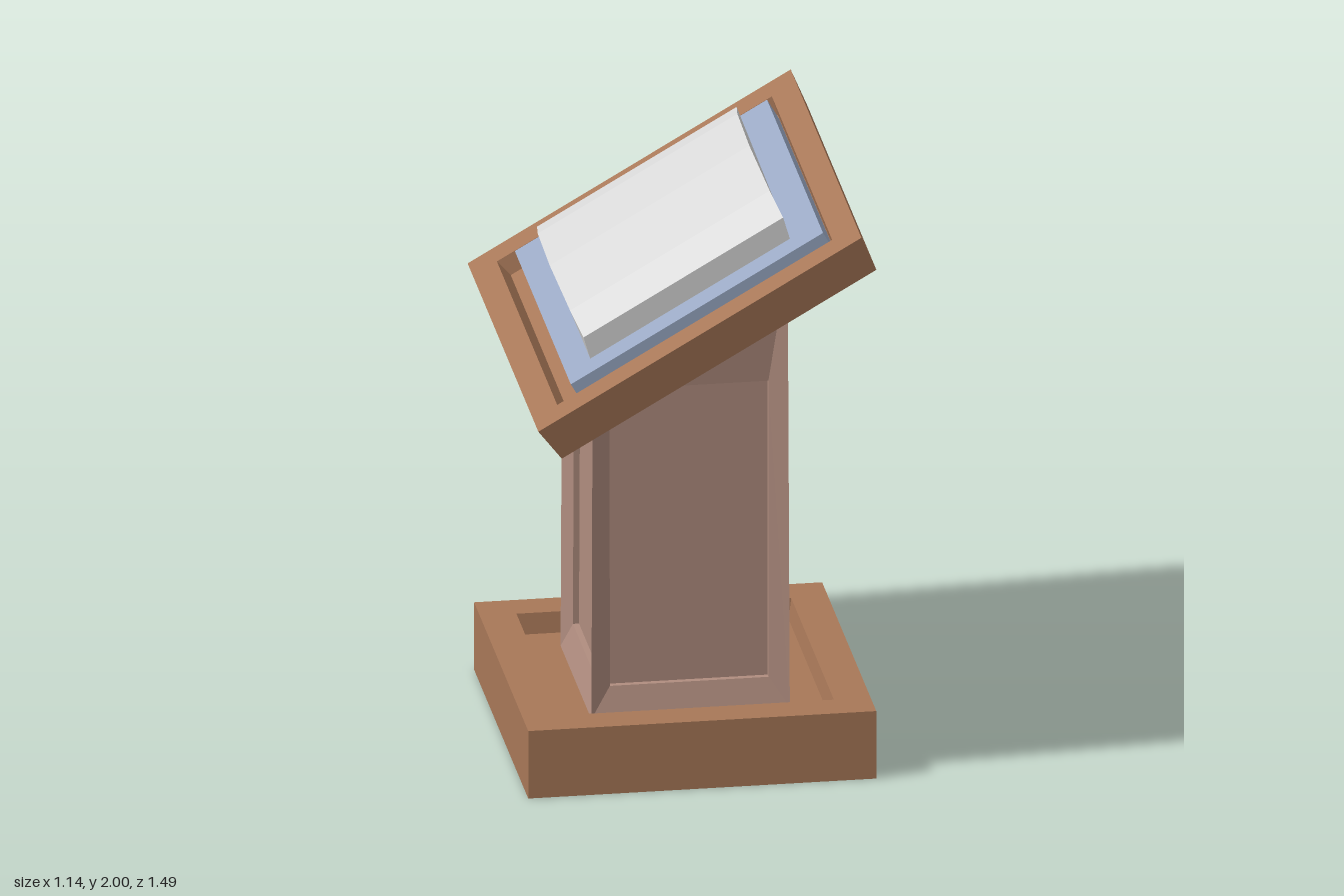
import * as THREE from 'three';

const material = (name, color) => {
  const m = new THREE.MeshStandardMaterial({ color });
  m.name = name;
  return m;
};

// Flat-faceted mesh from convex polygons, each a counter-clockwise list of points
function facets(name, polygons, mat) {
  const positions = [];
  for (const p of polygons) {
    for (let i = 1; i < p.length - 1; i++) positions.push(...p[0], ...p[i], ...p[i + 1]);
  }
  const geometry = new THREE.BufferGeometry();
  geometry.setAttribute('position', new THREE.Float32BufferAttribute(positions, 3));
  geometry.computeVertexNormals();
  const mesh = new THREE.Mesh(geometry, mat);
  mesh.name = name;
  return mesh;
}

// Quads joining two matching rings
const bridge = (a, b) => a.map((p, i) => {
  const j = (i + 1) % a.length;
  return [p, a[j], b[j], b[i]];
});

// Closed solid through a series of rings
function loft(name, rings, mat) {
  const polygons = [[...rings[0]].reverse(), rings[rings.length - 1]];
  for (let i = 0; i < rings.length - 1; i++) polygons.push(...bridge(rings[i], rings[i + 1]));
  return facets(name, polygons, mat);
}

// Horizontal rectangle ring
const rect = (hx, hz, y, cx = 0) =>
  [[cx - hx, y, hz], [cx + hx, y, hz], [cx + hx, y, -hz], [cx - hx, y, -hz]];

export function createModel() {
  const wood = material('brown wood', 0xa87858);
  const columnWood = material('rosy wood', 0xb08d7f);
  const cloth = material('blue cloth', 0x9aa9c4);
  const paper = material('pale grey', 0xd8d8d8);
  const model = new THREE.Group();
  model.name = 'lectern';

  // Base: a block with a sunken top
  const floorY = 0.165;
  model.add(loft('base', [
    rect(0.57, 0.57, 0), rect(0.57, 0.57, 0.235),
    rect(0.45, 0.45, 0.235), rect(0.44, 0.44, floorY),
  ], wood));

  // Column: four bevelled frames around recessed panels, cut off by the sloping tray
  const half = y => 0.325 - 0.004 * (y - floorY);
  const slopeY = x => 1.525 + x * Math.tan(Math.PI / 6);
  const place = [
    (s, y, d) => [s, y, d],
    (s, y, d) => [d, y, -s],
    (s, y, d) => [-s, y, -d],
    (s, y, d) => [-d, y, s],
  ];
  const panelTops = [1.295, 1.65, 1.295, 1.295];
  const names = ['frontSide', 'leftSide', 'backSide', 'rightSide'];
  const column = new THREE.Group();
  column.name = 'column';
  place.forEach((at, k) => {
    const corner = sign => {
      const y = slopeY(Math.sign(at(sign, 0, 1)[0]) * 0.32);
      return at(sign * half(y), y, half(y));
    };
    const h0 = half(floorY);
    const outer = [at(-h0, floorY, h0), at(h0, floorY, h0), corner(1), corner(-1)];
    const inner = depth => [[-1, 0.265], [1, 0.265], [1, panelTops[k]], [-1, panelTops[k]]]
      .map(([s, y]) => at(s * 0.26, y, half(y) - depth));
    const lip = inner(0.03), panel = inner(0.05);
    column.add(facets(names[k], [...bridge(outer, lip), ...bridge(lip, panel), panel], columnWood));
  });
  model.add(column);

  // Sloping top, modelled level and then tilted
  const top = new THREE.Group();
  top.name = 'slopingTop';
  top.position.set(-0.035, 1.652, 0);
  top.rotation.z = Math.PI / 6;
  model.add(top);

  top.add(loft('tray', [
    rect(0.595, 0.728, -0.131), rect(0.611, 0.745, 0),
    rect(0.52, 0.635, 0), rect(0.505, 0.62, -0.06),
  ], wood));

  top.add(loft('pad', [rect(0.477, 0.59, -0.062, 0.027), rect(0.477, 0.59, 0.018, 0.027)], cloth));

  // Book: an arched block with slightly leaning ends
  const profile = [[0.49, 0.012], [-0.49, 0.012], [-0.49, 0.094], [-0.34, 0.136],
    [0, 0.164], [0.34, 0.136], [0.49, 0.094]];
  const bookEnd = x => profile.map(([z, y]) => [x + (y > 0.05 ? 0.02 : 0), y, z]);
  top.add(loft('book', [bookEnd(-0.36), bookEnd(0.395)], paper));

  return model;
}
